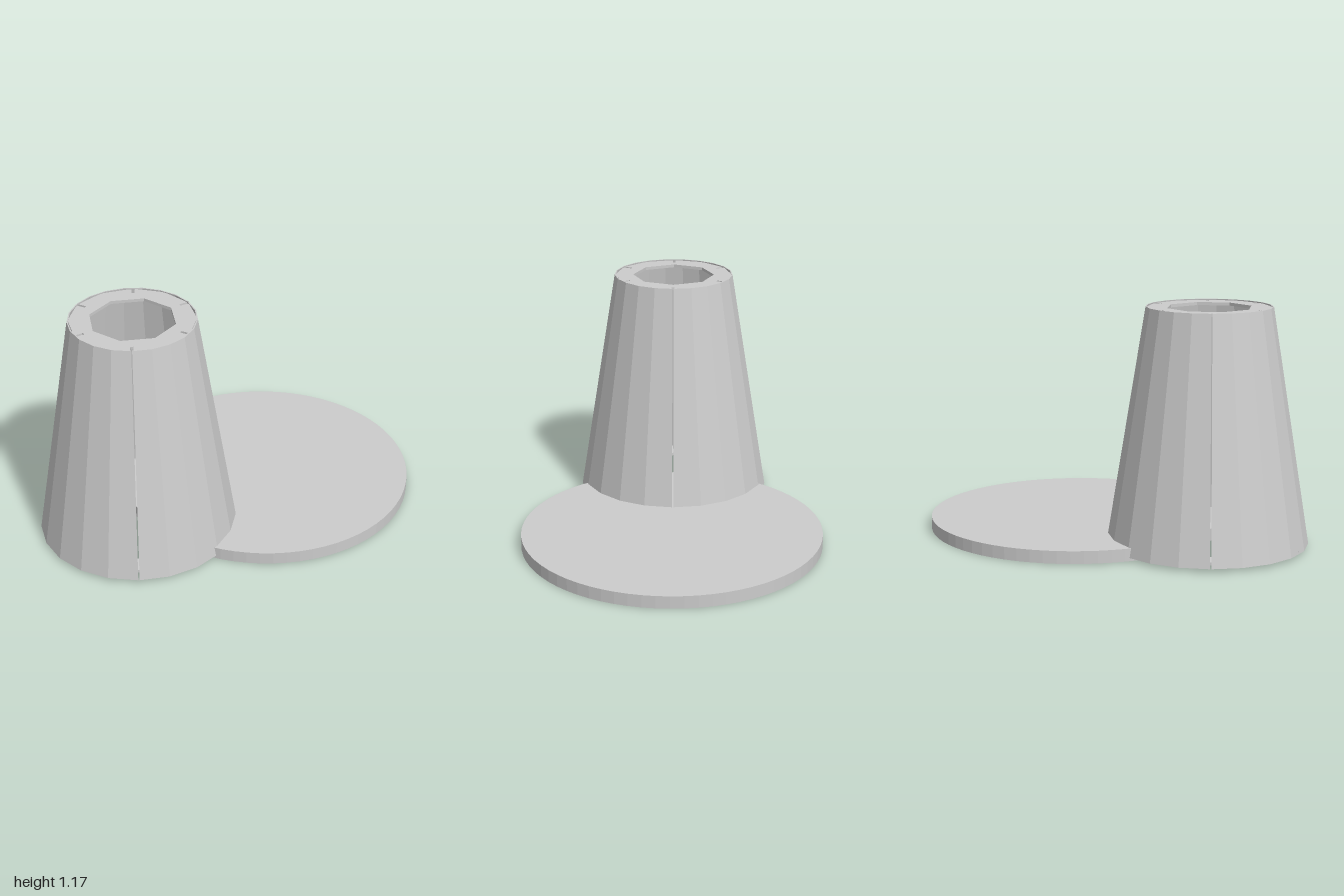
import * as THREE from 'three';

const material = new THREE.MeshStandardMaterial({ color: 0xcccccc, flatShading: true, side: THREE.DoubleSide });
const polar = (r, a) => new THREE.Vector2(r * Math.cos(a), r * Math.sin(a));

// Flat twelve-sided ring with an octagonal hole and six notches in its rim
function notchedRing(outer, inner, depth, thickness) {
  const points = [];
  const half = 0.007;
  for (let k = 0; k < 6; k++) {
    const a = k * Math.PI / 3;
    const o = new THREE.Vector2();
    for (const [r, s] of [[outer, -half], [outer - depth, -half], [outer - depth, half], [outer, half]]) {
      points.push(new THREE.Vector2(r, s).rotateAround(o, a));
    }
    points.push(polar(outer, a + Math.PI / 6));
  }
  const shape = new THREE.Shape(points);
  const hole = Array.from({ length: 8 }, (_, i) => polar(inner, -i * Math.PI / 4));
  shape.holes.push(new THREE.Path(hole));
  const geometry = new THREE.ExtrudeGeometry(shape, { depth: thickness, bevelEnabled: false });
  return geometry.rotateX(-Math.PI / 2);
}

export function createModel() {
  const model = new THREE.Group();
  const add = (parent, name, geometry, x, y, z) => {
    const mesh = new THREE.Mesh(geometry, material);
    mesh.name = name;
    mesh.position.set(x, y, z);
    parent.add(mesh);
  };

  // Round flat base
  add(model, 'baseDisc', new THREE.CylinderGeometry(0.75, 0.75, 0.062, 72), 0.25, 0.031, 0);

  // Hollow tapered tower standing over the edge of the disc
  const tower = new THREE.Group();
  tower.name = 'tower';
  tower.position.set(-0.505, 0, 0);
  model.add(tower);

  // Three thin curved panels separated by narrow seams
  const bottomY = 0.015, topY = 1.175, wall = 0.006, gap = 0.014;
  const profile = [
    [0.495, bottomY], [0.307, topY], [0.307 - wall, topY], [0.495 - wall, bottomY], [0.495, bottomY],
  ].map(([r, y]) => new THREE.Vector2(r, y));
  for (let i = 0; i < 3; i++) {
    const start = Math.PI / 2 + i * 2 * Math.PI / 3 + gap / 2;
    add(tower, 'wallPanel' + (i + 1), new THREE.LatheGeometry(profile, 7, start, 2 * Math.PI / 3 - gap), 0, 0, 0);
  }

  // Stiffening rings at both ends
  add(tower, 'topRing', notchedRing(0.303, 0.21, 0.045, 0.015), 0, 1.155, 0);
  add(tower, 'bottomRing', notchedRing(0.488, 0.37, 0.05, 0.015), 0, 0.016, 0);

  return model;
}
